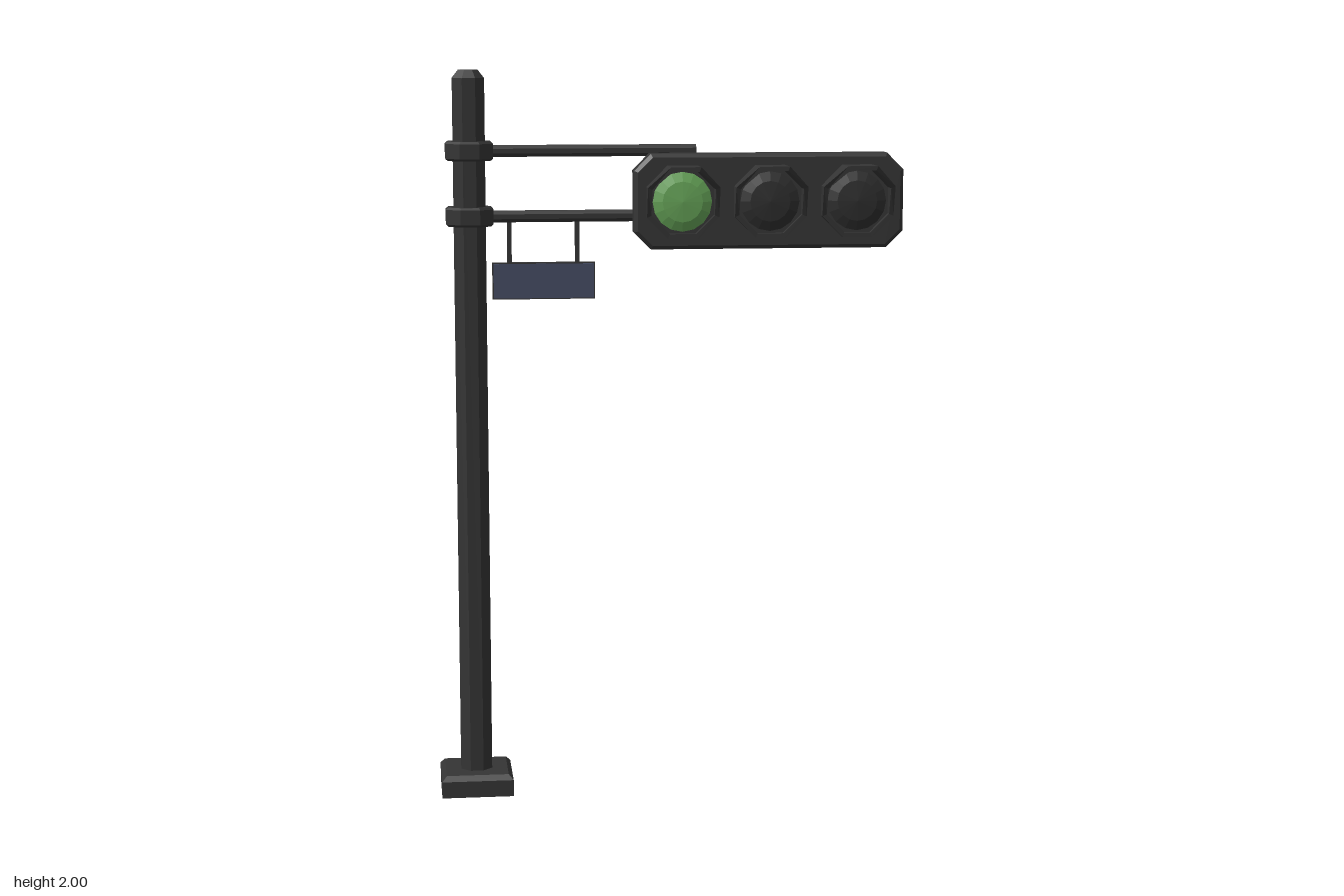
import * as THREE from 'three';

const mat = (name, color) => new THREE.MeshStandardMaterial({ name, color });

export function createModel() {
  const model = new THREE.Group();
  model.name = 'trafficSignal';
  const metal = mat('darkMetal', 0x343434);
  const offLens = mat('unlitLens', 0x2e2e2e);
  const green = mat('greenLens', 0x66a458);
  const blue = mat('signBlue', 0x454c64);

  const POLE_X = -0.543, ARM_Z = -0.043, LAMP_Y = 1.647;

  // Faceted mesh helper
  const add = (name, geometry, material, x = 0, y = 0, z = 0, parent = model) => {
    const g = geometry.index ? geometry.toNonIndexed() : geometry;
    g.computeVertexNormals();
    const mesh = new THREE.Mesh(g, material);
    mesh.name = name;
    mesh.position.set(x, y, z);
    parent.add(mesh);
    return mesh;
  };
  // Regular prism of stacked rings; profile is [distance to flat, y]
  const prism = (sides, profile) => {
    const k = 1 / Math.cos(Math.PI / sides);
    return new THREE.LatheGeometry(
      profile.map(([r, y]) => new THREE.Vector2(r * k, y)), sides
    ).rotateY(Math.PI / sides);
  };

  // Base, pole and collars
  add('base', prism(4, [[0, 0], [0.099, 0], [0.099, 0.046], [0.086, 0.06], [0, 0.06]]), metal, POLE_X, 0, ARM_Z);
  add('pole', prism(8, [[0, 0.05], [0.043, 0.05], [0.043, 1.978], [0.026, 2], [0, 2]]), metal, POLE_X, 0, ARM_Z);
  for (const y of [1.783, 1.606]) {
    add('collar', prism(8, [[0.04, -0.026], [0.058, -0.026], [0.064, -0.02],
      [0.064, 0.02], [0.058, 0.026], [0.04, 0.026]]), metal, POLE_X, y, ARM_Z);
    // Horizontal arm
    const arm = new THREE.CylinderGeometry(0.017, 0.017, 0.618, 8).rotateY(Math.PI / 8).rotateZ(Math.PI / 2);
    add('arm', arm, metal, -0.234, y - 0.001, ARM_Z);
  }

  // Hanging street sign
  add('signBoard', new THREE.BoxGeometry(0.28, 0.1, 0.02), metal, -0.343, 1.429, ARM_Z);
  add('signFace', new THREE.BoxGeometry(0.274, 0.094, 0.004), blue, -0.343, 1.429, ARM_Z + 0.011);
  for (const x of [-0.436, -0.251])
    add('signHanger', new THREE.BoxGeometry(0.012, 0.13, 0.012), metal, x, 1.535, ARM_Z);

  // Signal head: chamfered plate with a bevelled rim
  const signal = new THREE.Group();
  signal.name = 'signalHead';
  signal.position.set(0.267, LAMP_Y, 0);
  model.add(signal);
  const w = 0.359, h = 0.119, c = 0.04, bevel = 0.01;
  const outline = new THREE.Shape([
    [-w, -h + c], [-w + c, -h], [w - c, -h], [w, -h + c],
    [w, h - c], [w - c, h], [-w + c, h], [-w, h - c],
  ].map(([x, y]) => new THREE.Vector2(x, y)));
  add('frontPlate', new THREE.ExtrudeGeometry(outline, {
    depth: 0.05, bevelEnabled: true, bevelSize: bevel, bevelThickness: bevel, bevelSegments: 1,
  }), metal, 0, 0, -0.014, signal);

  // Rear casing, chamfered along top and bottom
  const caseShape = new THREE.Shape([
    [0, -0.114], [0.048, -0.114], [0.075, -0.09], [0.075, 0.09], [0.048, 0.114], [0, 0.114],
  ].map(([x, y]) => new THREE.Vector2(x, y)));
  const caseGeometry = new THREE.ExtrudeGeometry(caseShape, { depth: 0.182, bevelEnabled: false })
    .translate(0, 0, -0.091).rotateY(Math.PI / 2);
  // Local +x of the profile must point to the rear (-z)

  // Octagonal hood, long at the top and short at the bottom
  const hoodGeometry = () => {
    const corner = (i, r) => {
      const a = Math.PI / 8 + i * Math.PI / 4, k = r / Math.cos(Math.PI / 8);
      return [Math.cos(a) * k, Math.sin(a) * k];
    };
    const frontZ = [0.092, 0.138, 0.138, 0.092, 0.067, 0.064, 0.064, 0.067];
    const loops = [[0.098, false], [0.098, true], [0.086, true], [0.086, false]];
    const positions = [], index = [];
    for (const [r, atFront] of loops)
      for (let i = 0; i < 8; i++) positions.push(...corner(i, r), atFront ? frontZ[i] : 0.04);
    for (let l = 0; l < 3; l++)
      for (let i = 0; i < 8; i++) {
        const a = l * 8 + i, b = l * 8 + (i + 1) % 8;
        index.push(a, b, b + 8, a, b + 8, a + 8);
      }
    const g = new THREE.BufferGeometry();
    g.setAttribute('position', new THREE.Float32BufferAttribute(positions, 3));
    g.setIndex(index);
    return g;
  };

  // Three lamps, the first one lit
  [-0.239, 0, 0.239].forEach((x, i) => {
    add('rearCasing', caseGeometry.clone(), metal, x, 0, -0.02, signal);
    add('hood', hoodGeometry(), metal, x, 0, 0, signal);
    const lens = new THREE.LatheGeometry([
      new THREE.Vector2(0.081, 0), new THREE.Vector2(0.055, 0.01), new THREE.Vector2(0, 0.015),
    ], 16).rotateX(Math.PI / 2);
    add('lens', lens, i === 0 ? green : offLens, x, 0, 0.047, signal);
  });

  return model;
}
